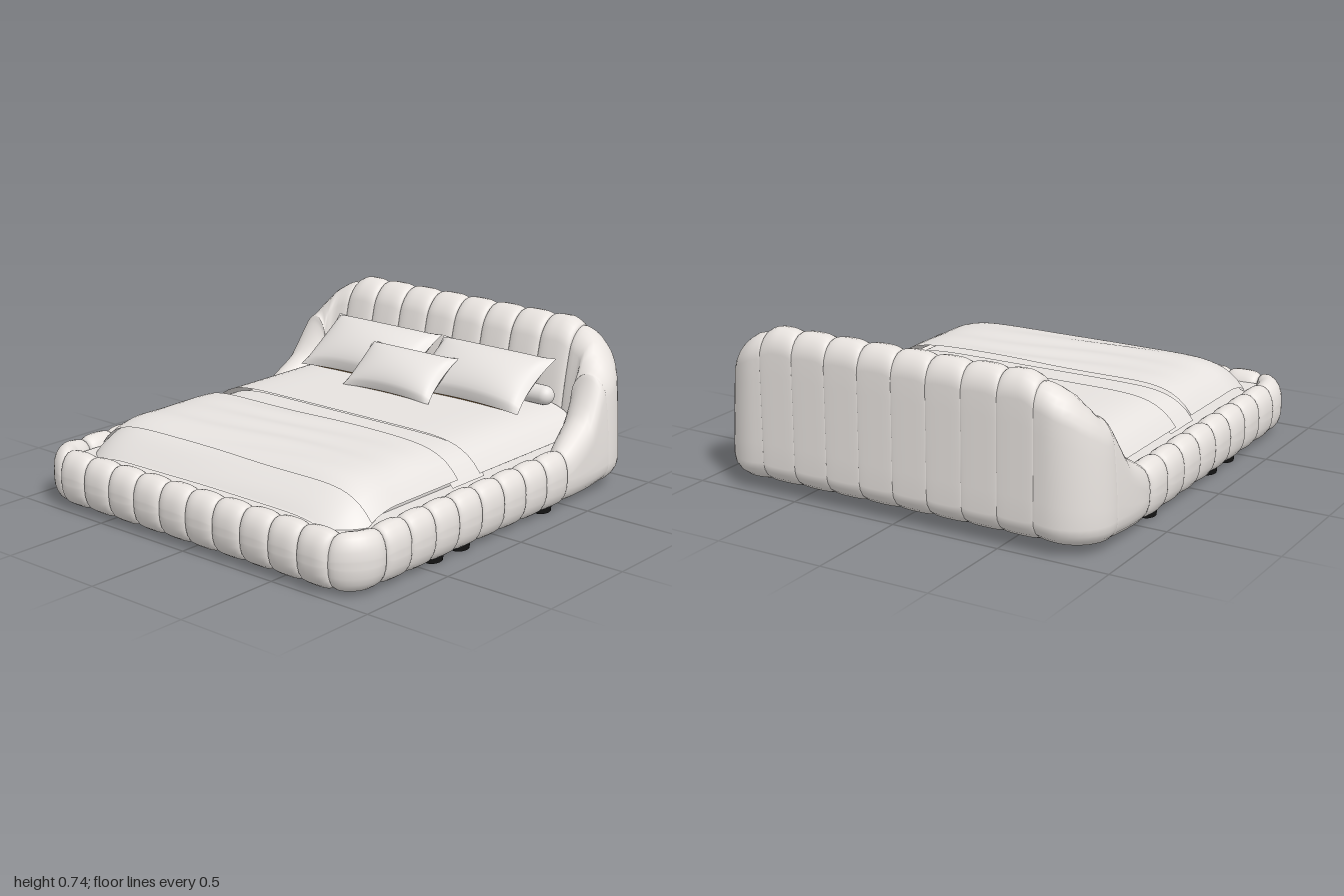
import * as THREE from 'three';
import { mergeGeometries } from 'three/addons/utils/BufferGeometryUtils.js';
import { RoundedBoxGeometry } from 'three/addons/geometries/RoundedBoxGeometry.js';

const clamp = THREE.MathUtils.clamp;
const mat = (name, color, side = THREE.FrontSide) => {
  const m = new THREE.MeshStandardMaterial({ color, side });
  m.name = name;
  return m;
};

// piecewise linear lookup through [position, value] pairs
function lookup(pairs, t) {
  if (t <= pairs[0][0]) return pairs[0][1];
  for (let i = 1; i < pairs.length; i++) {
    const [a, va] = pairs[i - 1], [b, vb] = pairs[i];
    if (t <= b) return va + (vb - va) * (t - a) / (b - a);
  }
  return pairs[pairs.length - 1][1];
}

// outer outline in plan, from the middle of the foot (s = 0) round to the middle of the head
const FRONT_R = 0.2, BACK_R = 0.21, HALF_W = 0.925, SIDE_S = 0.725 + FRONT_R * Math.PI / 2;
const SIDE_END = SIDE_S + 1.59, BACK_S = SIDE_END + BACK_R * Math.PI / 2, TOTAL = BACK_S + 0.715;
function outline(s) {
  const sign = Math.sign(s), t = Math.abs(s);
  let x, z;
  if (t < 0.725) { x = t; z = 1; }
  else if (t < SIDE_S) {
    const a = (t - 0.725) / FRONT_R;
    x = 0.725 + FRONT_R * Math.sin(a); z = 0.8 + FRONT_R * Math.cos(a);
  } else if (t < SIDE_END) { x = HALF_W; z = 0.8 - (t - SIDE_S); }
  else if (t < BACK_S) {
    const a = (t - SIDE_END) / BACK_R;
    x = 0.715 + BACK_R * Math.cos(a); z = -0.79 - BACK_R * Math.sin(a);
  } else { x = TOTAL - t; z = -1; }
  return [x * sign, z];
}

// height of the padding, by distance back and by distance from the middle
const RISE = [[0.45, 0.262], [0.5, 0.275], [0.55, 0.3], [0.61, 0.335], [0.66, 0.375], [0.7, 0.435],
  [0.74, 0.51], [0.78, 0.59], [0.82, 0.66], [0.855, 0.71], [0.89, 0.738]];
const SHOULDER = [[0.6, 0.738], [0.66, 0.722], [0.72, 0.692], [0.78, 0.645], [0.83, 0.58], [0.87, 0.49]];

// one cross-section of the padding, pulled in by inset at the seams
function section(s, inset) {
  const [ox, oz] = outline(s);
  const halfX = 0.78 - 0.05 * clamp((-0.45 - oz) / 0.3, 0, 1);
  const ix = clamp(ox, -halfX, halfX), iz = clamp(oz, -0.73, 0.85);
  const T = Math.hypot(ix - ox, iz - oz), nx = (ix - ox) / T, nz = (iz - oz) / T;
  const H = Math.min(lookup(RISE, -(oz + 0.4 * (iz - oz))), lookup(SHOULDER, Math.abs(ox + 0.4 * (ix - ox))));
  const k = clamp((H - 0.262) / 0.476, 0, 1);
  const d0 = inset * (1 - 0.88 * k), d1 = T - inset, y0 = 0.015 + inset * 0.5 + 0.02 * k, y1 = H - inset;
  const a = (d1 - d0) / 2, ry = 0.1, mid = (d0 + d1) / 2, flat = [];
  for (let i = 0; i <= 10; i++) {
    const t = Math.PI * i / 10;
    flat.push([mid + a * Math.cos(t), y1 - ry + ry * Math.sin(t)]);
  }
  for (let i = 1; i < 5; i++) flat.push([d0, y1 - ry + (y0 + ry - y1 + ry) * i / 5]);
  for (let i = 0; i <= 10; i++) {
    const t = Math.PI * (1 + i / 10);
    flat.push([mid + a * Math.cos(t), y0 + ry + ry * Math.sin(t)]);
  }
  for (let i = 1; i < 5; i++) flat.push([d1, y0 + ry + (y1 - y0 - 2 * ry) * i / 5]);
  return flat.map(([d, y]) => {
    const v = (y - y0) / (y1 - y0), lean = k * v * v;
    // tall sections narrow towards the top, the sides also tip inwards
    const dd = d0 + 0.07 * lean * Math.abs(nx) + (d - d0) * (1 - 0.4 * lean);
    return [ox + nx * dd, y, oz + nz * dd];
  });
}

// one puffed channel between two seams of given depths
function puff(s0, s1, depth0, depth1) {
  const N = 16, pos = [], idx = [];
  let M = 0;
  for (let i = 0; i <= N; i++) {
    const q = -Math.cos(Math.PI * i / N);
    const inset = (q < 0 ? depth0 : depth1) * (1 - Math.sqrt(Math.max(0, 1 - Math.abs(q) ** 3)));
    const ring = section(s0 + (s1 - s0) * (q + 1) / 2, inset);
    M = ring.length;
    ring.forEach(p => pos.push(...p));
  }
  for (let i = 0; i < N; i++) for (let j = 0; j < M; j++) {
    const a = i * M + j, b = i * M + (j + 1) % M;
    idx.push(a, b, a + M, b, b + M, a + M);
  }
  const g = new THREE.BufferGeometry();
  g.setAttribute('position', new THREE.Float32BufferAttribute(pos, 3));
  g.setIndex(idx);
  g.computeVertexNormals();
  return g;
}

// bedding layer draped over the mattress
function drape(z0, z1, top, halfX, wrinkle = 0) {
  const g = new THREE.PlaneGeometry(2, 1, 48, 40), p = g.attributes.position;
  for (let i = 0; i < p.count; i++) {
    const u = p.getX(i), z = z0 + (0.5 - p.getY(i)) * (z1 - z0), x = u * halfX;
    const fall = 0.13 * clamp((z - 0.55) / 0.31, 0, 1) ** 2.2;
    const fold = wrinkle * (Math.sin(z * 38 + Math.sin(x * 4) * 1.5) * Math.cos(x * 2.2) + 0.5 * Math.sin(z * 17 - x * 5));
    const corner = 1 - 0.03 * clamp((z - 0.72) / 0.14, 0, 1) ** 2;
    p.setXYZ(i, x * corner, top - 0.12 * Math.abs(u) ** 9 - fall + fold * (1 - u ** 6), z);
  }
  g.computeVertexNormals();
  return g;
}

// cushion with drawn-out corners; the lowest part of its back is a second material
function cushion(w, h, t) {
  const half = () => {
    const g = new THREE.PlaneGeometry(2, 2, 24, 18), p = g.attributes.position;
    for (let i = 0; i < p.count; i++) {
      const u = p.getX(i), v = p.getY(i), e = (1 - u * u) * (1 - v * v);
      p.setXYZ(i, u * w / 2 * (1 - 0.07 * (1 - v * v)), v * h / 2 * (1 - 0.1 * (1 - u * u)), t / 2 * Math.max(0, e) ** 0.5);
    }
    g.computeVertexNormals();
    return g;
  };
  const g = mergeGeometries([half(), half().rotateY(Math.PI)]);
  const split = g.index.count * 5 / 6;
  g.addGroup(0, split, 0);
  g.addGroup(split, g.index.count - split, 1);
  return g;
}

export function createModel() {
  const root = new THREE.Group();
  root.name = 'bed';
  const fabric = mat('upholstery', 0xebe6e2);
  const linen = mat('linen', 0xe6e2df, THREE.DoubleSide);
  const board = mat('baseBoard', 0xad9a7c);
  const tan = mat('sideLining', 0xcdb590);
  const gold = mat('goldLining', 0xb27c3a);
  const rust = mat('rustWood', 0x9c4a1a);
  const black = mat('feet', 0x141414);
  const add = (name, geo, m, x = 0, y = 0, z = 0) => {
    const mesh = new THREE.Mesh(geo, m);
    mesh.name = name;
    mesh.position.set(x, y, z);
    root.add(mesh);
    return mesh;
  };

  // channelled frame: [seam, depth] along one half, mirrored for the other
  const seams = [], DEEP = 0.024;
  for (let i = 0; i <= 5; i++) seams.push([i * 0.155, DEEP]);
  for (let i = 0; i <= 8; i++) seams.push([1.069 + i * 0.155, DEEP]);
  seams.push([2.62, 0.007]);
  for (let i = 0; i <= 4; i++) seams.push([TOTAL - 0.66 + i * 0.165, DEEP]);
  const rails = [], head = [];
  for (let i = 1; i < seams.length; i++) {
    const [s0, a] = seams[i - 1], [s1, b] = seams[i];
    const list = s1 > 2.4 ? head : rails;
    list.push(puff(s0 + 1e-6, s1 - 1e-6, a, b), puff(-s1 + 1e-6, -s0 - 1e-6, b, a));
  }
  add('paddedRails', mergeGeometries(rails), fabric);
  add('paddedHeadboard', mergeGeometries(head), fabric);

  // mattress and bedding
  add('mattress', new RoundedBoxGeometry(1.44, 0.16, 1.42, 5, 0.075), linen, 0, 0.24, -0.03);
  add('mattressBase', new THREE.BoxGeometry(1.58, 0.07, 1.63), linen, 0, 0.185, 0.055);
  add('upperSheet', drape(-0.75, 0.01, 0.379, 0.785), linen);
  add('foldBand', drape(-0.03, 0.19, 0.358, 0.78), linen);
  add('blanket', drape(0.16, 0.72, 0.39, 0.785, 0.004), linen);
  add('blanketFront', drape(0.69, 0.87, 0.381, 0.78, 0.002), linen);

  // pillows and bolster
  for (const side of [-1, 1])
    add(side < 0 ? 'rightPillow' : 'leftPillow', cushion(0.64, 0.35, 0.17), [linen, gold], side * 0.325, 0.478, -0.595)
      .rotation.x = -0.97;
  add('smallPillow', cushion(0.51, 0.28, 0.14), [linen, gold], -0.01, 0.462, -0.43).rotation.x = -0.92;
  add('bolster', new THREE.CapsuleGeometry(0.045, 1.25, 8, 20), linen, 0, 0.415, -0.685).rotation.z = Math.PI / 2;

  // underside: raised panel, with inner faces lined on the inward side only
  add('basePanel', new THREE.BoxGeometry(1.57, 0.02, 1.6), board, 0, 0.135, 0.05);
  for (const side of [-1, 1]) {
    add('sideLining', new THREE.PlaneGeometry(1.46, 0.1), tan, side * 0.774, 0.08, -0.01).rotation.y = -side * Math.PI / 2;
    add('cornerBlock', new THREE.BoxGeometry(0.07, 0.11, 0.05), rust, side * 0.69, 0.07, 0.815);
  }
  add('frontLining', new THREE.PlaneGeometry(1.54, 0.07), gold, 0, 0.06, 0.842).rotation.y = Math.PI;
  add('frontBatten', new THREE.BoxGeometry(1.54, 0.03, 0.012), rust, 0, 0.11, 0.836);

  // low feet under the side rails
  for (const side of [-1, 1]) for (const z of [0.4, 0.22, -0.37])
    add('foot', new THREE.CylinderGeometry(0.05, 0.045, 0.04, 16).scale(0.7, 1, 1), black, side * 0.85, 0.02, z);
  return root;
}
